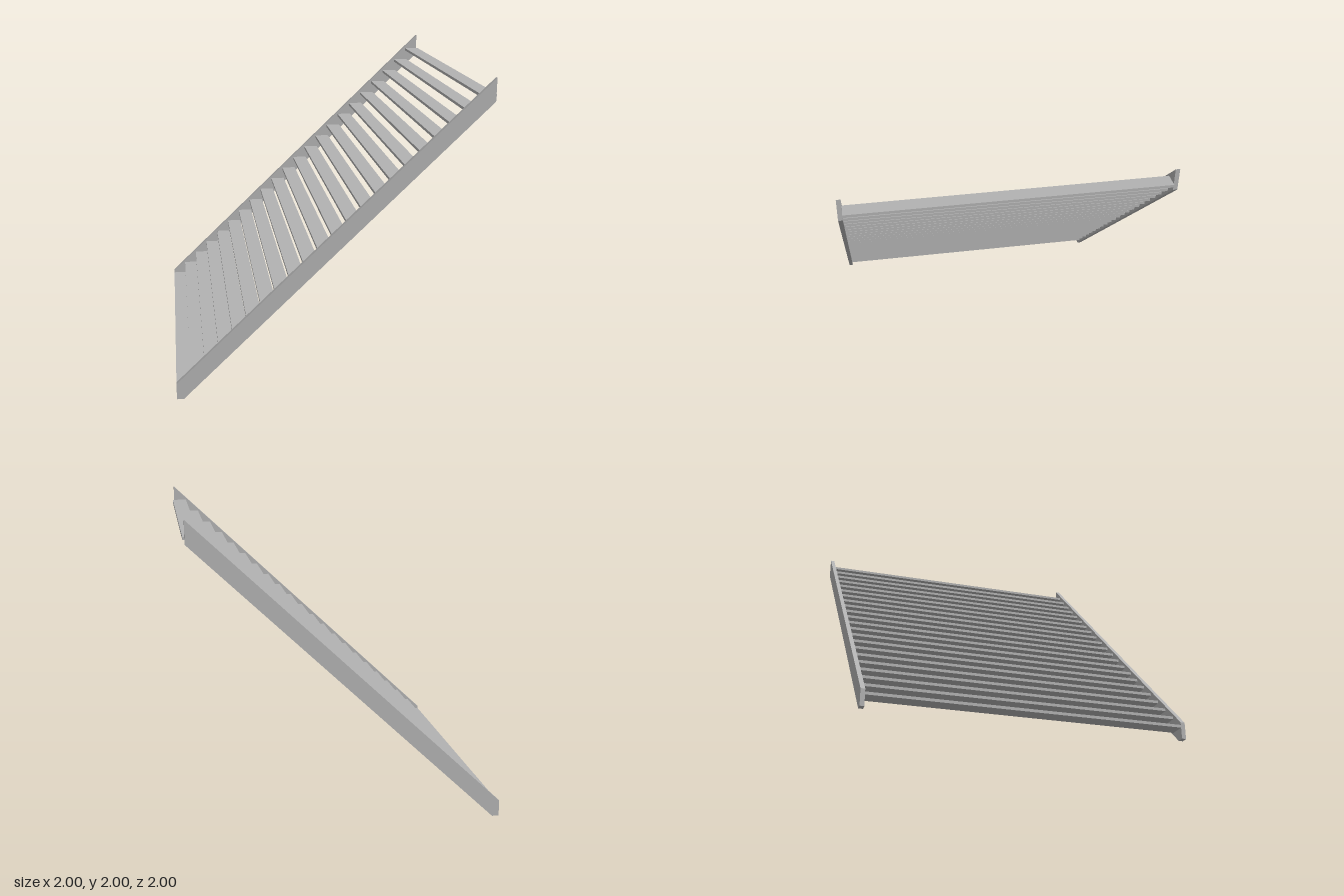
import * as THREE from 'three';

// Straight open-riser staircase: two side stringers with treads between them
const STEPS = 22;
const RUN = 0.0904, RISE = 0.0862;
const TREAD_DEPTH = 0.1, TREAD_THICK = 0.018;
const STRINGER_THICK = 0.027;

export function createModel() {
  const model = new THREE.Group();
  model.name = 'staircase';
  const lightGrey = new THREE.MeshStandardMaterial({ color: 0xb2b2b2 });
  lightGrey.name = 'lightGrey';

  // Stringers: sloped boards cut flat at the floor and plumb at both ends
  const outline = new THREE.Shape([
    [-1, 0], [-0.955, 0], [0.987, 1.855], [0.987, 2], [-1, 0.105],
  ].map(([x, y]) => new THREE.Vector2(x, y)));
  const board = new THREE.ExtrudeGeometry(outline, { depth: STRINGER_THICK, bevelEnabled: false });
  for (const [name, z] of [['frontStringer', 1 - STRINGER_THICK], ['backStringer', -1]]) {
    const stringer = new THREE.Mesh(board, lightGrey);
    stringer.name = name;
    stringer.position.z = z;
    model.add(stringer);
  }

  // Treads: thin boards spanning the gap, slightly overlapping in plan
  const treads = new THREE.Group();
  treads.name = 'treads';
  const plank = new THREE.BoxGeometry(TREAD_DEPTH, TREAD_THICK, 2 - 2 * STRINGER_THICK);
  for (let i = 0; i < STEPS; i++) {
    const tread = new THREE.Mesh(plank, lightGrey);
    tread.name = `tread${i + 1}`;
    tread.position.set(-1 + TREAD_DEPTH / 2 + i * RUN, 0.079 + i * RISE, 0);
    treads.add(tread);
  }
  model.add(treads);
  return model;
}
